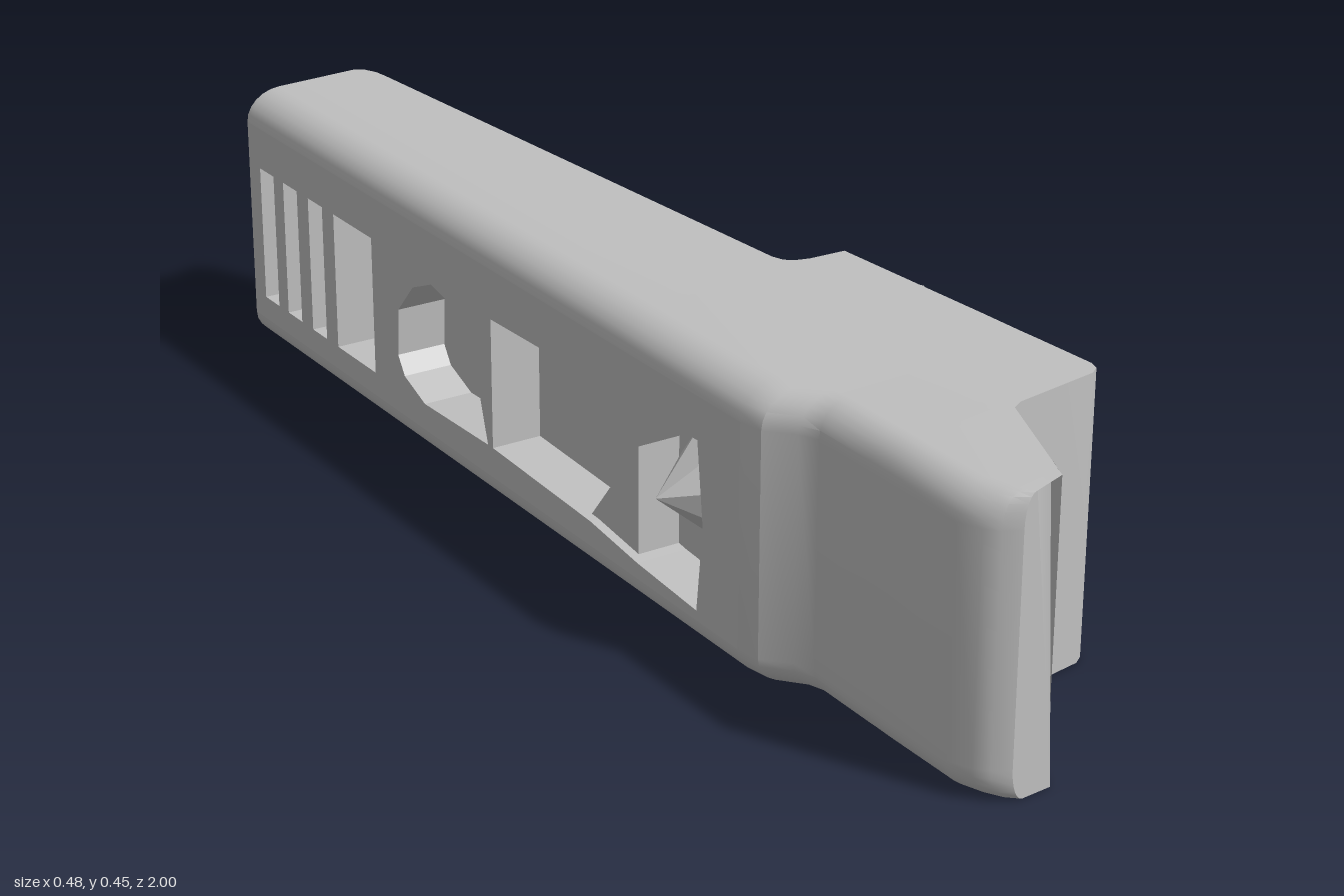
import * as THREE from 'three';
import { toCreasedNormals } from 'three/addons/utils/BufferGeometryUtils.js';

const H = 0.447, RY = 0.05;
const BACK = -0.965, WALL_END = 0.52;
const wallX = z => -0.12 - (z - BACK) * 0.0808; // slanted left wall
const grey = new THREE.MeshStandardMaterial({ color: 0xc0c0c0 });
grey.name = 'grey';

function add(group, name, geometry) {
  const mesh = new THREE.Mesh(geometry, grey);
  mesh.name = name;
  group.add(mesh);
  return mesh;
}

// Vertical prism from an [x, z] outline, between two heights
function prism(points, y0, y1) {
  const shape = new THREE.Shape(points.map(([x, z]) => new THREE.Vector2(x, -z)));
  const g = new THREE.ExtrudeGeometry(shape, { depth: y1 - y0, bevelEnabled: false });
  g.rotateX(-Math.PI / 2).translate(0, y0, 0);
  return toCreasedNormals(g, 0.7);
}

// Cross-section: square on the right, rounded along both left edges
const ARC = 6;
function section([z, xl, xr, rx]) {
  const p = [[xr, 0, z], [xr, H, z]];
  for (let i = 0; i <= ARC; i++) {
    const a = (i / ARC) * Math.PI / 2;
    p.push([xl + rx - rx * Math.sin(a), H - RY + RY * Math.cos(a), z]);
  }
  for (let i = 0; i <= ARC; i++) {
    const a = (i / ARC) * Math.PI / 2;
    p.push([xl + rx - rx * Math.cos(a), RY - RY * Math.sin(a), z]);
  }
  return p;
}

function bodyGeometry() {
  // z, left x, right x, left edge radius
  const w = (z, xr) => [z, wallX(z), xr, 0.065];
  const sections = [
    w(BACK, 0.095), w(-0.955, 0.11), w(-0.93, 0.119), w(-0.9, 0.12),
    w(0.165, 0.105), w(0.185, 0.11), w(0.197, 0.122), w(0.205, 0.145), w(0.212, 0.206),
    w(WALL_END, 0.202),
    [0.56, -0.236, 0.201, 0.065], [0.6, -0.205, 0.2, 0.06], [0.63, -0.193, 0.2, 0.05],
    [0.745, -0.203, 0.198, 0.05], [0.76, -0.204, 0.192, 0.05], [0.77, -0.205, 0.175, 0.05],
    [0.782, -0.206, 0.03, 0.05], [0.792, -0.207, 0.01, 0.05],
    [0.93, -0.217, -0.06, 0.05], [0.965, -0.205, -0.078, 0.045],
    [0.985, -0.19, -0.088, 0.035], [1, -0.165, -0.095, 0.02],
  ].map(section);
  const last = sections.length - 1;
  sections[last][1] = [-0.065, H, 0.94]; // sloping nose facet

  const pos = [];
  const tri = (...v) => v.forEach(p => pos.push(...p));
  const n = sections[0].length;
  for (let s = 0; s < last; s++) {
    const a = sections[s], b = sections[s + 1];
    for (let i = 0; i < n; i++) {
      // the flat left wall is the separate window panel
      if (i === 2 + ARC && b[0][2] <= WALL_END) continue;
      const j = (i + 1) % n;
      tri(a[i], a[j], b[j]);
      tri(a[i], b[j], b[i]);
    }
  }
  for (let i = 1; i < n - 1; i++) {
    tri(sections[0][0], sections[0][i + 1], sections[0][i]);
    tri(sections[last][0], sections[last][i], sections[last][i + 1]);
  }
  const g = new THREE.BufferGeometry();
  g.setAttribute('position', new THREE.Float32BufferAttribute(pos, 3));
  return toCreasedNormals(g, 0.5);
}

export function createModel() {
  const model = new THREE.Group();
  model.name = 'wedgeHousing';
  add(model, 'body', bodyGeometry());

  // Left wall: u runs forward along the wall, v up, w outward
  const wall = new THREE.Group();
  wall.name = 'leftWall';
  const start = new THREE.Vector3(wallX(BACK), 0, BACK);
  const u = new THREE.Vector3(wallX(WALL_END), 0, WALL_END).sub(start);
  const length = u.length();
  u.normalize();
  const v = new THREE.Vector3(0, 1, 0);
  const out = new THREE.Vector3().crossVectors(u, v);
  wall.applyMatrix4(new THREE.Matrix4().makeBasis(u, v, out).setPosition(start));
  model.add(wall);

  const rect = (a, b, c, d) => [[a, b], [c, b], [c, d], [a, d]];
  const path = pts => pts.map(p => new THREE.Vector2(...p));
  const panel = new THREE.Shape(path(rect(0, RY, length, H - RY)));
  const openings = [
    rect(0.04, 0.09, 0.09, 0.325), rect(0.125, 0.09, 0.175, 0.325),
    rect(0.215, 0.09, 0.265, 0.325), rect(0.305, 0.09, 0.435, 0.325),
    // arched window
    [[0.515, 0.15], [0.535, 0.12], [0.6, 0.095], [0.8, 0.1], [0.77, 0.2],
      [0.73, 0.26], [0.68, 0.3], [0.63, 0.31], [0.57, 0.285], [0.52, 0.23]],
    // long window
    [[0.815, 0.1], [1.1, 0.09], [1.23, 0.075], [1.385, 0.065], [1.4, 0.2], [1.385, 0.33], [0.815, 0.315]],
  ];
  openings.forEach(o => panel.holes.push(new THREE.Path(path(o))));
  const depth = 0.085;
  const panelGeo = new THREE.ExtrudeGeometry(panel, { depth, bevelEnabled: false });
  add(wall, 'windowPanel', panelGeo.translate(0, 0, -depth));
  const back = new THREE.PlaneGeometry(length - 0.02, H - 2 * RY);
  add(wall, 'recessBack', back.translate(length / 2, H / 2, -depth));

  // Faceted peg and slanted rib inside the long window
  const peg = new THREE.ConeGeometry(0.085, 0.1, 7).toNonIndexed();
  peg.rotateX(Math.PI / 2).translate(1.3, 0.21, -0.036);
  peg.computeVertexNormals();
  add(wall, 'peg', peg);
  const rib = new THREE.Shape(path([[1.08, 0.09], [1.21, 0.07], [1.21, 0.25]]));
  const ribGeo = new THREE.ExtrudeGeometry(rib, { depth: 0.07, bevelEnabled: false });
  add(wall, 'windowRib', ribGeo.translate(0, 0, -depth));

  // Clip wrapped around the right back corner
  const clip = new THREE.Group();
  clip.name = 'backClip';
  model.add(clip);
  add(clip, 'clipBar', prism([[0.045, -0.95], [0.045, -0.985], [0.055, -0.998], [0.09, -1],
    [0.105, -0.985], [0.122, -0.93], [0.1, -0.94]], 0.04, 0.412));
  add(clip, 'clipWeb', prism([[0.1, -0.94], [0.122, -0.935], [0.152, -0.84], [0.185, -0.795],
    [0.155, -0.745], [0.112, -0.87]], 0.06, 0.395));
  add(clip, 'clipLip', prism([[0.185, -0.795], [0.205, -0.77], [0.207, -0.71], [0.195, -0.69],
    [0.178, -0.692], [0.155, -0.73], [0.15, -0.755]], 0.07, 0.385));

  // Leaning ridge on the right side
  const ridge = prism([[0.195, 0.33], [0.205, 0.33], [0.236, 0.345], [0.24, 0.36],
    [0.205, 0.378], [0.195, 0.378]], 0.023, 0.427);
  const shear = new THREE.Matrix4().set(1, 0, 0, 0, 0, 1, 0, 0, 0, -0.03, 1, 0.006, 0, 0, 0, 1);
  add(model, 'sideRidge', ridge.applyMatrix4(shear));
  return model;
}
